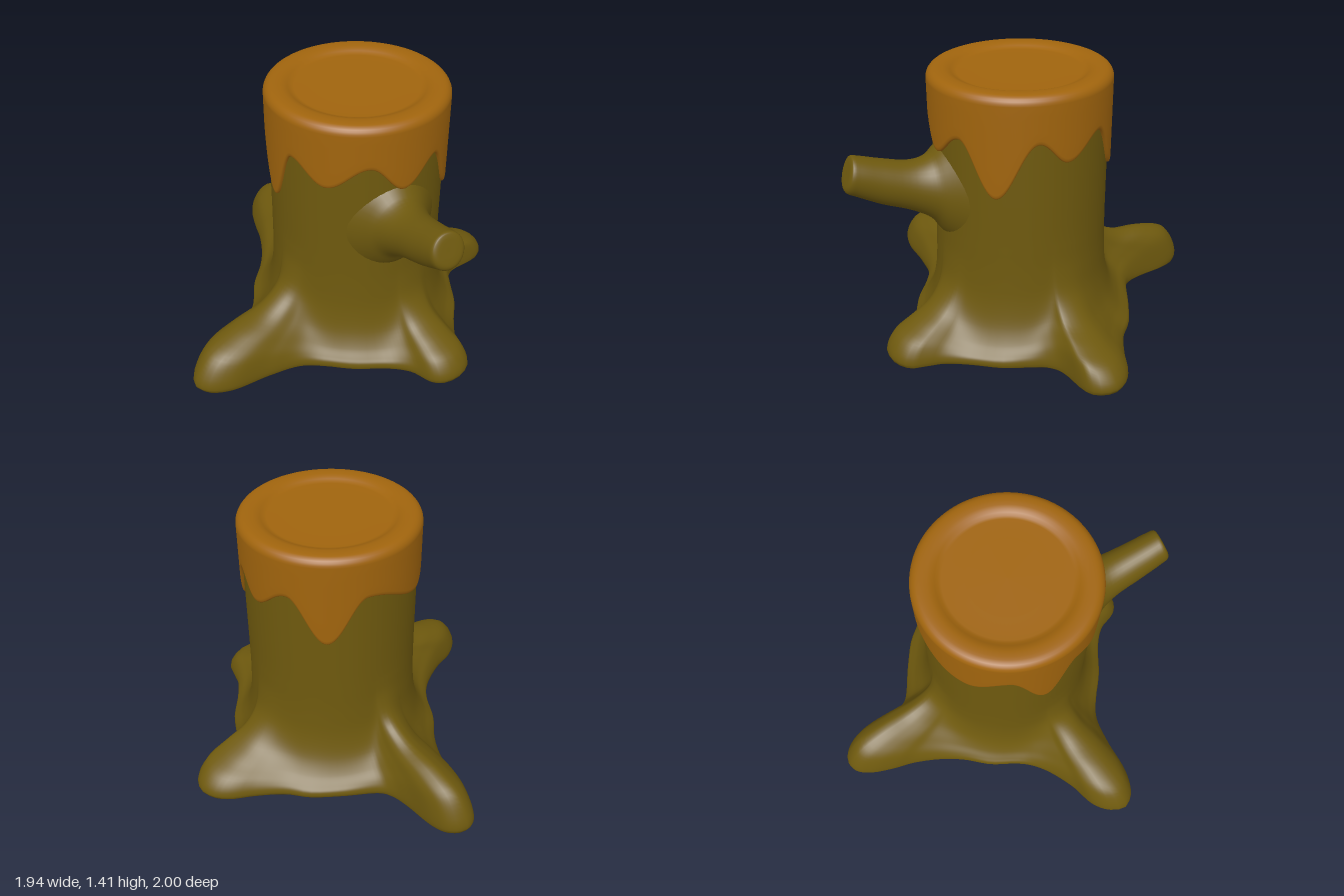
import * as THREE from 'three';

const CX = 0.08, CZ = 0.08, TRUNK_R = 0.443;

// Skin a list of closed rings (all with the same point count).
function loft(rings) {
  const n = rings[0].length, pos = [], idx = [];
  rings.forEach(r => r.forEach(p => pos.push(p.x, p.y, p.z)));
  for (let i = 0; i < rings.length - 1; i++) {
    for (let j = 0; j < n; j++) {
      const k = (j + 1) % n;
      const a = i * n + j, b = i * n + k, c = a + n, d = b + n;
      idx.push(a, b, c, b, d, c);
    }
  }
  const g = new THREE.BufferGeometry();
  g.setAttribute('position', new THREE.Float32BufferAttribute(pos, 3));
  g.setIndex(idx);
  g.computeVertexNormals();
  return g;
}

const polar = (phi, r, y) => new THREE.Vector3(CX + r * Math.cos(phi), y, CZ + r * Math.sin(phi));

// Root outline on the ground: x, z, and how high the root rises there
const OUTLINE = [
  [-0.04, -1, 1.3], [-0.11, -0.98, 1.15], [-0.16, -0.9, 0.95], [-0.19, -0.78, 0.75], [-0.21, -0.65, 0.5],
  [-0.26, -0.49, 0.25], [-0.32, -0.37, 0.1], [-0.41, -0.24, 0], [-0.47, -0.1, 0], [-0.55, 0.01, 0.2],
  [-0.73, 0.135, 0.6], [-0.88, 0.2, 0.85], [-0.95, 0.28, 1], [-0.97, 0.35, 1], [-0.93, 0.41, 0.95],
  [-0.82, 0.45, 0.8], [-0.6, 0.44, 0.5], [-0.42, 0.45, 0.2], [-0.3, 0.51, 0], [-0.18, 0.59, 0],
  [-0.03, 0.66, 0], [0.08, 0.74, 0.2], [0.15, 0.86, 0.45], [0.22, 0.89, 0.55], [0.3, 0.88, 0.55],
  [0.37, 0.83, 0.5], [0.39, 0.75, 0.4], [0.41, 0.65, 0.2], [0.48, 0.52, 0], [0.56, 0.4, 0],
  [0.61, 0.28, 0.1], [0.66, 0.18, 0.4], [0.74, 0.13, 0.6], [0.9, 0.1, 0.6], [0.95, 0.06, 0.55],
  [0.97, -0.02, 0.5], [0.94, -0.09, 0.45], [0.87, -0.15, 0.35], [0.75, -0.2, 0.25], [0.6, -0.28, 0.1],
  [0.5, -0.37, 0], [0.36, -0.45, 0], [0.18, -0.54, 0.2], [0.13, -0.6, 0.4], [0.1, -0.7, 0.65],
  [0.07, -0.88, 0.95], [0.03, -0.96, 1.15],
];

// Trunk-to-ground profile: fraction of the way out, height between roots, height on a root
const PROFILE = [
  [0, 0.65, 0.65], [0.02, 0.46, 0.5], [0.1, 0.3, 0.36], [0.3, 0.18, 0.275],
  [0.6, 0.1, 0.235], [0.85, 0.06, 0.18], [0.97, 0.04, 0.09], [1, 0.02, 0.03], [0.98, 0.004, 0.004],
];

function bodyGeometry() {
  const curve = new THREE.CatmullRomCurve3(
    OUTLINE.map(([x, z, w]) => new THREE.Vector3(x, w, z)).reverse(), true);
  const columns = curve.getSpacedPoints(200).slice(0, 200).map(p => {
    const phi = Math.atan2(p.z - CZ, p.x - CX);
    const reach = Math.hypot(p.z - CZ, p.x - CX) - TRUNK_R;
    const at = (f, y) => polar(phi, TRUNK_R + reach * f, y);
    const flare = new THREE.CatmullRomCurve3(
      PROFILE.map(([f, lo, hi]) => at(f, lo + (hi - lo) * p.y)));
    return [
      at(0, 1.38), at(0, 1.1), at(0, 0.85), at(0, 0.72), ...flare.getPoints(40),
      at(0.95, 0), at(0.9, 0), polar(phi, 0, 0),
    ];
  });
  return loft(columns[0].map((_, i) => columns.map(c => c[i])));
}

// Lower edge of the cap: peaks and drips as [degrees, height]
const DRIPS = [
  [-56, 0.92], [-31, 1.17], [-6, 1.06], [12.5, 1.17], [39, 0.89], [63, 1.16], [87, 1.04],
  [109, 1.18], [136, 1.065], [160, 1.175], [179, 0.88], [203, 1.17], [231, 1.05], [278, 1.17], [304, 0.92],
];

function dripHeight(deg) {
  const i = DRIPS.findIndex(d => d[0] > deg);
  const [a, ya] = DRIPS[i - 1], [b, yb] = DRIPS[i];
  return ya + (yb - ya) * (0.5 - 0.5 * Math.cos(Math.PI * (deg - a) / (b - a)));
}

function capGeometry() {
  // Dished top with a rounded rim: radius, height
  const top = [[0, 1.385], [0.2, 1.385], [0.31, 1.385], [0.325, 1.388], [0.34, 1.396], [0.355, 1.404],
    [0.375, 1.409], [0.4, 1.41], [0.415, 1.409]];
  for (let i = 1; i <= 6; i++) {
    const a = i / 6 * Math.PI / 2;
    top.push([0.415 + 0.046 * Math.sin(a), 1.363 + 0.046 * Math.cos(a)]);
  }
  const columns = [];
  for (let j = 0; j < 240; j++) {
    const deg = -56 + j * 1.5, phi = THREE.MathUtils.degToRad(deg), low = dripHeight(deg);
    const skirt = [0.25, 0.5, 0.75].map(t => [0.461, 1.363 + (low + 0.025 - 1.363) * t]);
    const edge = [[0.461, low + 0.025], [0.459, low + 0.01], [0.453, low + 0.002], [0.446, low], [0.435, low + 0.003]];
    columns.push([...top, ...skirt, ...edge].map(([r, y]) => polar(phi, r, y)));
  }
  return loft(columns[0].map((_, i) => columns.map(c => c[i])));
}

// Branch rings: top z, top y, bottom z, bottom y, half width
const BRANCH = [
  [0.43, 1.12, 0.43, 0.5, 0.26], [0.525, 1.05, 0.525, 0.6, 0.18], [0.575, 1.01, 0.58, 0.68, 0.145],
  [0.66, 1.0, 0.68, 0.745, 0.115], [0.8, 1.035, 0.83, 0.81, 0.1], [0.91, 1.07, 0.95, 0.875, 0.09],
  [0.945, 1.078, 0.99, 0.898, 0.083], [0.955, 1.065, 1.0, 0.92, 0.068],
  [0.965, 1.04, 0.995, 0.95, 0.04], [0.98, 0.995, 0.98, 0.995, 0],
];

function branchGeometry() {
  const sides = 36, columns = [];
  for (let j = 0; j < sides; j++) {
    const a = j / sides * Math.PI * 2, t = (1 + Math.sin(a)) / 2;
    const line = new THREE.CatmullRomCurve3(BRANCH.map(([tz, ty, bz, by, w]) => new THREE.Vector3(
      CX + w * Math.cos(a), by + (ty - by) * t, bz + (tz - bz) * t)));
    columns.push(line.getPoints(36));
  }
  return loft(columns[0].map((_, i) => columns.map(c => c[i])));
}

export function createModel() {
  const bark = new THREE.MeshStandardMaterial({ color: 0x6e590e });
  const syrup = new THREE.MeshStandardMaterial({ color: 0xa0640d });
  const group = new THREE.Group();
  group.name = 'treeStump';
  const add = (name, geometry, material) => {
    const mesh = new THREE.Mesh(geometry, material);
    mesh.name = name;
    group.add(mesh);
  };
  add('trunkAndRoots', bodyGeometry(), bark);
  add('branch', branchGeometry(), bark);
  add('drippingCap', capGeometry(), syrup);
  return group;
}
